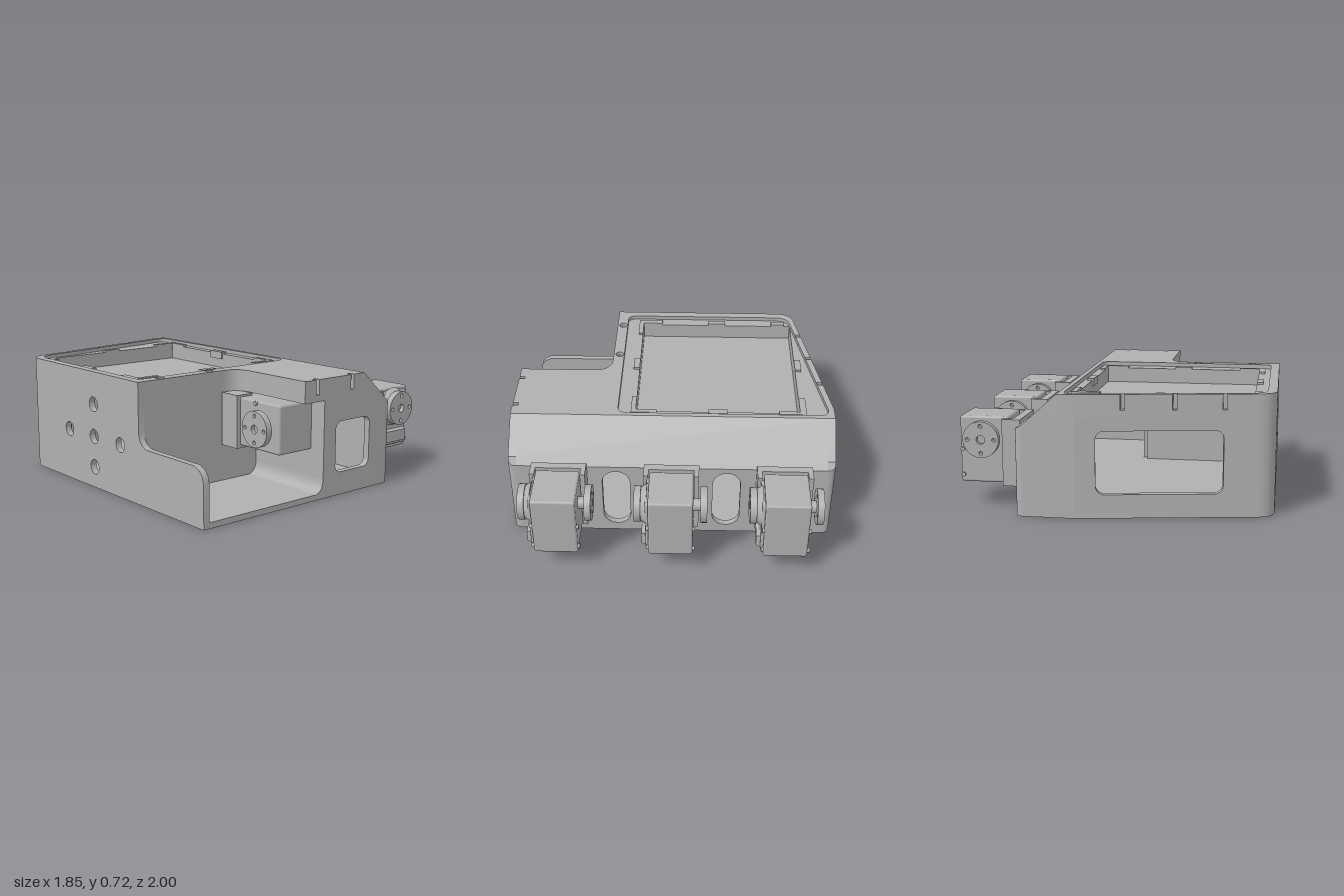
import * as THREE from 'three';
import { toCreasedNormals } from 'three/addons/utils/BufferGeometryUtils.js';
import { RoundedBoxGeometry } from 'three/addons/geometries/RoundedBoxGeometry.js';

const grey = new THREE.MeshStandardMaterial({ color: 0xb0b0b0 });
grey.name = 'plain grey';

function add(parent, name, geo) {
  const mesh = new THREE.Mesh(geo, grey);
  mesh.name = name;
  parent.add(mesh);
  return mesh;
}

function extrude(shape, depth) {
  return toCreasedNormals(
    new THREE.ExtrudeGeometry(shape, { depth, bevelEnabled: false, curveSegments: 14 }), 0.5);
}

const polygon = pts => new THREE.Shape(pts.map(p => new THREE.Vector2(p[0], p[1])));

function circle(x, y, r) {
  return new THREE.Path().absarc(x, y, r, 0, Math.PI * 2, true);
}

function roundRect(x0, y0, x1, y1, r) {
  const p = new THREE.Path();
  p.absarc(x1 - r, y1 - r, r, 0, Math.PI / 2);
  p.absarc(x0 + r, y1 - r, r, Math.PI / 2, Math.PI);
  p.absarc(x0 + r, y0 + r, r, Math.PI, Math.PI * 1.5);
  p.absarc(x1 - r, y0 + r, r, Math.PI * 1.5, Math.PI * 2);
  p.closePath();
  return p;
}

// Horizontal plate; shapes are drawn in (x, -z)
function slab(shape, y0, y1) {
  return extrude(shape, y1 - y0).rotateX(-Math.PI / 2).translate(0, y0, 0);
}

// Upright wall from a to b (x, z pairs); shape is (distance along, height)
function wall(a, b, shape, t = 0.04) {
  const dir = new THREE.Vector3(b[0] - a[0], 0, b[1] - a[1]).normalize();
  const up = new THREE.Vector3(0, 1, 0);
  const m = new THREE.Matrix4().makeBasis(dir, up, dir.clone().cross(up));
  m.setPosition(a[0], 0, a[1]);
  return extrude(shape, t).translate(0, 0, -t).applyMatrix4(m);
}

function box(parent, name, x0, x1, y0, y1, z0, z1) {
  return add(parent, name, new THREE.BoxGeometry(x1 - x0, y1 - y0, z1 - z0)
    .translate((x0 + x1) / 2, (y0 + y1) / 2, (z0 + z1) / 2));
}

const slantZ = x => -1 + (0.2 - x) * 0.175;

// Outline of the top deck, optionally with screw slots cut in its edges
function deckShape(slots) {
  const s = new THREE.Shape();
  const p = (x, z) => s.lineTo(x, -z);
  s.moveTo(-0.93, -0.41);
  p(-0.31, 0.41);
  s.quadraticCurveTo(-0.19, -0.41, -0.19, -0.53);
  p(-0.19, 1);
  if (slots) for (const x of [-0.088, 0.2]) {
    p(x - 0.012, 1); p(x - 0.012, 0.965); p(x + 0.012, 0.965); p(x + 0.012, 1);
  }
  p(0.3, 1); p(0.3, -1); p(0.2, -1);
  if (slots) for (const x of [-0.07, -0.36, -0.64]) {
    const r = x + 0.012, l = x - 0.012;
    p(r, slantZ(r)); p(r, slantZ(r) + 0.035); p(l, slantZ(l) + 0.035); p(l, slantZ(l));
  }
  p(-0.832, -0.818);
  s.quadraticCurveTo(-0.93, 0.8, -0.93, 0.7);
  s.closePath();
  return s;
}

function buildDeck(g) {
  const pocket = () => roundRect(-0.8, -0.23, 0.22, 0.79, 0.005);
  const low = deckShape(false);
  low.holes.push(pocket());
  add(g, 'deckUnderside', slab(low, 0.59, 0.63));
  const mid = deckShape(true);
  mid.holes.push(pocket(), circle(-0.75, -0.37, 0.016), circle(-0.38, -0.37, 0.016));
  add(g, 'deckMiddle', slab(mid, 0.63, 0.695));
  const top = deckShape(true);
  const step = new THREE.Path();
  step.moveTo(-0.82, -0.34);
  step.lineTo(0.21, -0.34);
  step.quadraticCurveTo(0.27, -0.34, 0.27, -0.28);
  step.lineTo(0.27, 0.91);
  step.quadraticCurveTo(0.27, 0.97, 0.2, 0.962);
  step.lineTo(-0.79, 0.79);
  step.quadraticCurveTo(-0.875, 0.775, -0.875, 0.69);
  step.lineTo(-0.875, -0.28);
  step.quadraticCurveTo(-0.875, -0.34, -0.82, -0.34);
  top.holes.push(step, circle(-0.75, -0.37, 0.026), circle(-0.38, -0.37, 0.026));
  add(g, 'deckRim', slab(top, 0.695, 0.72));
  box(g, 'pocketFloor', -0.82, 0.24, 0.57, 0.6, -0.81, 0.25);
  // Small tabs around the pocket: x0, x1, z0, z1
  const tabs = [[-0.84, -0.8, -0.75, -0.66], [-0.84, -0.8, -0.34, -0.22], [-0.36, -0.24, -0.83, -0.79],
    [0.08, 0.25, -0.83, -0.79], [0.22, 0.25, -0.8, -0.66], [0.21, 0.25, -0.34, -0.22],
    [-0.84, -0.67, 0.23, 0.26], [-0.84, -0.8, 0.1, 0.24], [-0.35, -0.24, 0.23, 0.27],
    [0.08, 0.25, 0.23, 0.26], [0.22, 0.25, 0.1, 0.24]];
  for (const [x0, x1, z0, z1] of tabs) box(g, 'pocketTab', x0, x1, 0.66, 0.708, z0, z1);
}

function buildShell(g) {
  // Floor
  const f = new THREE.Shape();
  f.moveTo(-0.93, -1); f.lineTo(0.5, -1);
  f.quadraticCurveTo(0.55, -1, 0.55, -0.95); f.lineTo(0.55, 0.95);
  f.quadraticCurveTo(0.55, 1, 0.5, 1); f.lineTo(0.2, 1); f.lineTo(-0.832, 0.818);
  f.quadraticCurveTo(-0.93, 0.8, -0.93, 0.7); f.closePath();
  add(g, 'floor', slab(f, 0, 0.035));

  // Front wall with window
  const front = polygon([[0, 0], [0.53, 0], [0.53, 0.54], [0.475, 0.59], [0, 0.59]]);
  front.holes.push(roundRect(0.1, 0.14, 0.39, 0.45, 0.045));
  add(g, 'frontWall', wall([-0.03, 1], [0.5, 1], front));

  // Right wall with two slots
  const right = polygon([[0, 0], [1.9, 0], [1.9, 0.51], [0, 0.51]]);
  for (const z of [0.34, -0.34]) right.holes.push(roundRect(0.865 - z, 0.055, 1.035 - z, 0.475, 0.084));
  add(g, 'sideWall', wall([0.55, 0.95], [0.55, -0.95], right));

  // Back walls, one straight and one slanted with a window
  add(g, 'backWall', wall([0.5, -1], [0.2, -1],
    polygon([[0, 0], [0.3, 0], [0.3, 0.59], [0.055, 0.59], [0, 0.54]])));
  const slant = polygon([[0, 0], [1.048, 0], [1.048, 0.59], [0, 0.59]]);
  slant.holes.push(roundRect(0.12, 0.14, 0.85, 0.51, 0.05));
  add(g, 'slantedBackWall', wall([0.2, -1], [-0.832, -0.818], slant));

  // Left wall with a cross of holes and a low front end
  const left = polygon([[0, 0], [1.7, 0], [1.7, 0.25], [1.69, 0.29], [1.665, 0.32], [1.62, 0.34],
    [1.18, 0.34], [1.145, 0.355], [1.12, 0.385], [1.11, 0.42], [1.11, 0.59], [0, 0.59]]);
  for (const [z, y] of [[-0.06, 0.52], [-0.06, 0.32], [-0.06, 0.13], [-0.34, 0.32], [0.22, 0.32]])
    left.holes.push(circle(z + 0.7, y, 0.045));
  add(g, 'outerWall', wall([-0.93, -0.7], [-0.93, 1], left));

  // Rounded vertical corners
  const corner = (p0, c, p1, inner, h) => {
    const s = new THREE.Shape();
    s.moveTo(p0[0], -p0[1]);
    s.quadraticCurveTo(c[0], -c[1], p1[0], -p1[1]);
    s.lineTo(inner[0], -inner[1]);
    s.closePath();
    return add(g, 'roundedCorner', slab(s, 0, h));
  };
  corner([-0.93, -0.7], [-0.93, -0.8], [-0.832, -0.818], [-0.86, -0.74], 0.59);
  for (const s of [1, -1]) {
    const pos = corner([0.5, s], [0.55, s], [0.55, s * 0.95], [0.5, s * 0.95], 0.51).geometry.attributes.position;
    for (let i = 0; i < pos.count; i++)
      if (pos.getY(i) > 0.4) pos.setY(i, 0.54 - (pos.getX(i) - 0.5) * 0.6);
  }

  // Sloping shoulder and its lower lip
  add(g, 'shoulder', extrude(polygon([[0.3, 0.59], [0.44, 0.53], [0.5, 0.48], [0.5, 0.54], [0.3, 0.72]]), 2)
    .translate(0, 0, -1));
  add(g, 'shoulderLip', extrude(polygon([[0.5, 0.48], [0.55, 0.48], [0.55, 0.51], [0.5, 0.54]]), 1.9)
    .translate(0, 0, -0.95));

  // Walls of the open front bay
  const plain = w => polygon([[0, 0.02], [w, 0.02], [w, 0.6], [0, 0.6]]);
  add(g, 'bayBackWall', wall([-0.93, 0.41], [-0.03, 0.41], plain(0.9)));
  add(g, 'bayInnerWall', wall([-0.03, 0.41], [-0.03, 1], plain(0.59), 0.03));
  const fillet = new THREE.Shape();
  fillet.moveTo(-0.12, 0.03);
  fillet.quadraticCurveTo(-0.03, 0.03, -0.03, 0.12);
  fillet.lineTo(-0.02, 0);
  fillet.lineTo(-0.12, 0);
  add(g, 'bayFillet', extrude(fillet, 0.59).translate(0, 0, 0.41));
}

// Motor with a horn on both ends, centred on its case
function motor(name, bracket) {
  const g = new THREE.Group();
  g.name = name;
  add(g, 'motorCase', new RoundedBoxGeometry(0.295, 0.4, 0.265, 2, 0.014));
  add(g, 'facePlate', new RoundedBoxGeometry(0.25, 0.35, 0.04, 2, 0.012).translate(0, 0, 0.13));
  // Tapered boss under the front horn
  const boss = new THREE.CylinderGeometry(0.1, 0.125, 0.035, 32).rotateX(Math.PI / 2);
  add(g, 'hornBoss', boss.translate(0, 0.075, 0.16));
  for (const s of [1, -1]) {
    const disc = new THREE.Shape().absarc(0, 0, 0.108, 0, Math.PI * 2);
    disc.holes.push(circle(0, 0, 0.026));
    for (let i = 0; i < 4; i++)
      disc.holes.push(circle(0.08 * Math.cos(i * Math.PI / 2), 0.08 * Math.sin(i * Math.PI / 2), 0.012));
    add(g, 'horn', extrude(disc, 0.04).translate(0, 0.075, s > 0 ? 0.178 : -0.215));
    add(g, 'hornShaft', new THREE.CylinderGeometry(0.036, 0.036, 0.08, 24)
      .rotateX(Math.PI / 2).translate(0, 0.075, s * 0.15));
    for (const x of [-0.132, 0.132]) for (const y of [0, -0.155])
      add(g, 'screw', new THREE.CylinderGeometry(0.013, 0.013, 0.02, 14)
        .rotateX(Math.PI / 2).translate(x, y, s * 0.135));
  }
  // Tapered connector cover, narrower at its face
  const cover = new THREE.BoxGeometry(0.23, 0.11, 0.05);
  const p = cover.attributes.position;
  for (let i = 0; i < p.count; i++)
    if (p.getZ(i) > 0) p.setXY(i, p.getX(i) * 0.85, p.getY(i) * 0.65);
  cover.computeVertexNormals();
  add(g, 'connectorCover', cover.translate(0, -0.115, 0.15));
  if (bracket) {
    box(g, 'bracketWeb', -0.225, -0.177, -0.21, 0.19, -0.165, 0.17);
    for (const z of [-0.165, 0.14]) box(g, 'bracketArm', -0.2, -0.115, -0.21, 0.19, z, z + 0.03);
  }
  return g;
}

export function createModel() {
  const model = new THREE.Group();
  model.name = 'motorHousing';
  const body = new THREE.Group();
  body.name = 'body';
  buildShell(body);
  buildDeck(body);
  model.add(body);

  // Row of three motors along the side
  for (const z of [0.68, -0.005, -0.69]) {
    const m = motor('sideMotor', true);
    m.position.set(0.775, 0.347, z);
    model.add(m);
  }
  // Motor lying in the front bay
  const bay = motor('bayMotor', false);
  bay.applyMatrix4(new THREE.Matrix4().makeBasis(
    new THREE.Vector3(0, 1, 0), new THREE.Vector3(0, 0, 1), new THREE.Vector3(1, 0, 0))
    .setPosition(-0.16, 0.43, 0.7));
  model.add(bay);
  box(model, 'bayMotorMount', -0.32, -0.2, 0.265, 0.59, 0.42, 0.56);
  return model;
}
